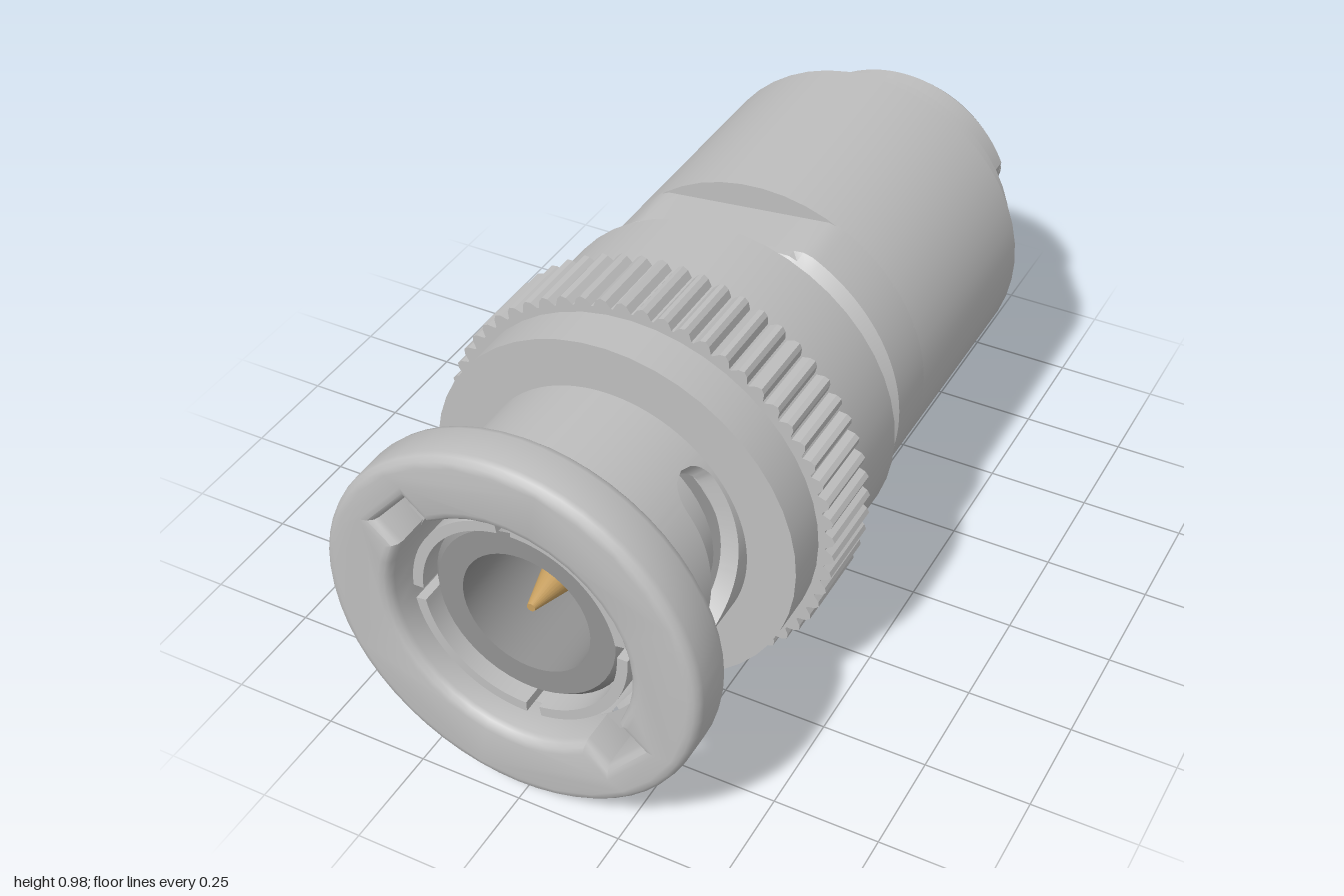
import * as THREE from 'three';
import { toCreasedNormals, mergeGeometries } from 'three/addons/utils/BufferGeometryUtils.js';

const RAD = Math.PI / 180;
const mat = (name, color) => {
  const m = new THREE.MeshStandardMaterial({ color });
  m.name = name;
  return m;
};

// Revolve [radius, z] points around the z axis (z rises along outer walls)
function turned(points, segments = 48) {
  const g = new THREE.LatheGeometry(points.map(([r, z]) => new THREE.Vector2(r, z)), segments);
  return g.rotateX(Math.PI / 2);
}

// Press two opposite wrench flats into a turned part
function cutFlats(geo, distance, angle) {
  const p = geo.attributes.position;
  for (let i = 0; i < p.count; i++) {
    const c = Math.abs(p.getX(i) * Math.cos(angle) + p.getY(i) * Math.sin(angle));
    const k = c > distance ? distance / c : 1;
    p.setXY(i, p.getX(i) * k, p.getY(i) * k);
  }
  return geo;
}

// Curved wall between two angles whose z limits follow functions of 0..1
function band(a0, a1, lo, hi, rIn, rOut, steps = 40) {
  const pos = [], index = [];
  for (let i = 0; i <= steps; i++) {
    const t = i / steps, a = a0 + (a1 - a0) * t;
    const section = [[rOut, lo(t)], [rOut, hi(t)], [rIn, hi(t)], [rIn, lo(t)]];
    for (const [r, z] of section) pos.push(r * Math.cos(a), r * Math.sin(a), z);
  }
  for (let i = 0; i < steps; i++) {
    for (let j = 0; j < 4; j++) {
      const a = i * 4 + j, b = i * 4 + (j + 1) % 4;
      index.push(a, a + 4, b + 4, a, b + 4, b);
    }
  }
  const g = new THREE.BufferGeometry();
  g.setAttribute('position', new THREE.Float32BufferAttribute(pos, 3));
  g.setIndex(index);
  return g;
}

export function createModel() {
  const steel = mat('nickel', 0xbebebe);
  const dark = mat('insulator grey', 0x929292);
  const gold = mat('gold', 0xc8a060);

  const model = new THREE.Group();
  model.name = 'coaxialConnector';
  const axis = new THREE.Group();
  axis.name = 'connectorAxis';
  axis.position.y = 0.49;
  model.add(axis);

  function add(name, geo, material, crease = 0.4) {
    const mesh = new THREE.Mesh(toCreasedNormals(geo, crease), material);
    mesh.name = name;
    axis.add(mesh);
    return mesh;
  }

  // Front flange: rounded ring with two bayonet entry notches
  const b = 0.025, w = 0.062 + b, rHole = 0.29 + b, rNotch = 0.355 + b;
  const ring = new THREE.Shape().absarc(0, 0, 0.45 - b, 0, Math.PI * 2, false);
  const hole = [], spread = Math.asin(w / rHole);
  for (let k = 0; k < 2; k++) {
    const a = -41 * RAD + k * Math.PI, c = Math.cos(a), s = Math.sin(a);
    for (const side of [-1, 1]) {
      hole.push(new THREE.Vector2(rNotch * c - side * w * s, rNotch * s + side * w * c));
    }
    for (let i = 0; i <= 16; i++) {
      const q = a + spread + (Math.PI - 2 * spread) * i / 16;
      hole.push(new THREE.Vector2(rHole * Math.cos(q), rHole * Math.sin(q)));
    }
  }
  ring.holes.push(new THREE.Path().setFromPoints(hole));
  const flange = new THREE.ExtrudeGeometry(ring, {
    depth: 0.13 - 2 * b, bevelEnabled: true, bevelSize: b, bevelThickness: b,
    bevelSegments: 3, curveSegments: 28,
  });
  add('frontFlange', flange.translate(0, 0, 0.87 + b), steel, 0.6);

  // Bayonet neck with two curved locking slots
  const pinch = t => t < 0.88 ? 1 : Math.sqrt(Math.max(0, 1 - ((t - 0.88) / 0.12) ** 2));
  const slotRear = t => 0.63 + (0.57 + 0.31 * (1 - t) ** 3 - 0.63) * pinch(t);
  const slotFront = t => Math.min(0.9, 0.63 + (0.69 + 0.187 * ((1 - t) / 0.8) ** 3 - 0.63) * pinch(t));
  const back = () => 0.55, front = () => 0.9;
  const walls = [];
  for (const turn of [0, Math.PI]) {
    const a0 = turn - 50 * RAD, a1 = turn + 50 * RAD, a2 = turn + 130 * RAD;
    walls.push(
      band(a0, a1, back, slotRear, 0.29, 0.333, 60),
      band(a0, a1, slotFront, front, 0.29, 0.333, 60),
      band(a1, a2, back, front, 0.29, 0.333, 24),
    );
  }
  add('bayonetNeck', mergeGeometries(walls), steel);

  // Coupling sleeve and its knurled grip
  add('couplingSleeve', turned([[0.3, 0.05], [0.45, 0.05], [0.45, 0.56], [0.25, 0.56]]), steel);
  const teeth = 60, knurl = [];
  for (let i = 0; i < teeth; i++) {
    for (const [f, r] of [[0, 0.467], [0.22, 0.483], [0.45, 0.489], [0.68, 0.483], [0.9, 0.467]]) {
      const a = (i + f) / teeth * Math.PI * 2;
      knurl.push(new THREE.Vector2(r * Math.cos(a), r * Math.sin(a)));
    }
  }
  const grip = new THREE.Shape(knurl);
  grip.holes.push(new THREE.Path().absarc(0, 0, 0.44, 0, Math.PI * 2, true));
  add('knurledGrip', new THREE.ExtrudeGeometry(grip, { depth: 0.18, bevelEnabled: false, curveSegments: 24 })
    .translate(0, 0, 0.27), steel);

  // Gasket at the bottom of the front bore
  add('gasket', turned([[0.29, 0.575], [0.25, 0.575]]), dark);

  // Spring contact: solid sleeve with four prongs split by narrow slits
  add('contactSleeve', turned([[0.26, 0.55], [0.26, 0.7], [0.23, 0.7]]), steel);
  for (let i = 0; i < 4; i++) {
    const a0 = (5 + i * 90 + 4) * RAD, a1 = (5 + i * 90 + 86) * RAD;
    const prong = new THREE.Shape();
    prong.absarc(0, 0, 0.26, a0, a1, false);
    prong.absarc(0, 0, 0.235, a1, a0, true);
    add('contactProng', new THREE.ExtrudeGeometry(prong, { depth: 0.26, bevelEnabled: false, curveSegments: 12 })
      .translate(0, 0, 0.69), steel);
  }

  // Insulator core and centre pin
  add('insulator', turned([[0.232, 0.55], [0.232, 0.9], [0.215, 0.92], [0.155, 0.92], [0.155, 0.5],
    [0.075, 0.5], [0.075, 0.52], [0, 0.52]]), dark);
  add('centrePin', turned([[0.045, 0.5], [0.045, 0.77], [0.01, 0.9], [0, 0.9]], 24), gold);

  // Rear housing: chamfered nose with wrench flats, then a stepped barrel
  const nose = turned([[0.425, -0.17], [0.425, -0.03], [0.406, -0.01], [0.3875, 0.01], [0.378, 0.02],
    [0.369, 0.03], [0.364, 0.035], [0.35, 0.05]], 120);
  add('housingNose', cutFlats(nose, 0.364, 96 * RAD), steel);
  add('rearBarrel', turned([[0.2, -0.87], [0.32, -0.87], [0.32, -0.84], [0.37, -0.84], [0.37, -0.74],
    [0.425, -0.74], [0.425, -0.165], [0.3, -0.165]]), steel);

  // Cable nut with two flats and a tapered cable bore
  const nut = turned([[0, -0.82], [0.165, -0.82], [0.185, -1], [0.29, -1], [0.315, -0.965], [0.315, -0.865]], 120);
  add('cableNut', cutFlats(nut, 0.243, -16 * RAD), steel);
  add('pinTail', new THREE.BoxGeometry(0.05, 0.05, 0.06).translate(0, 0, -0.84), steel);

  return model;
}
